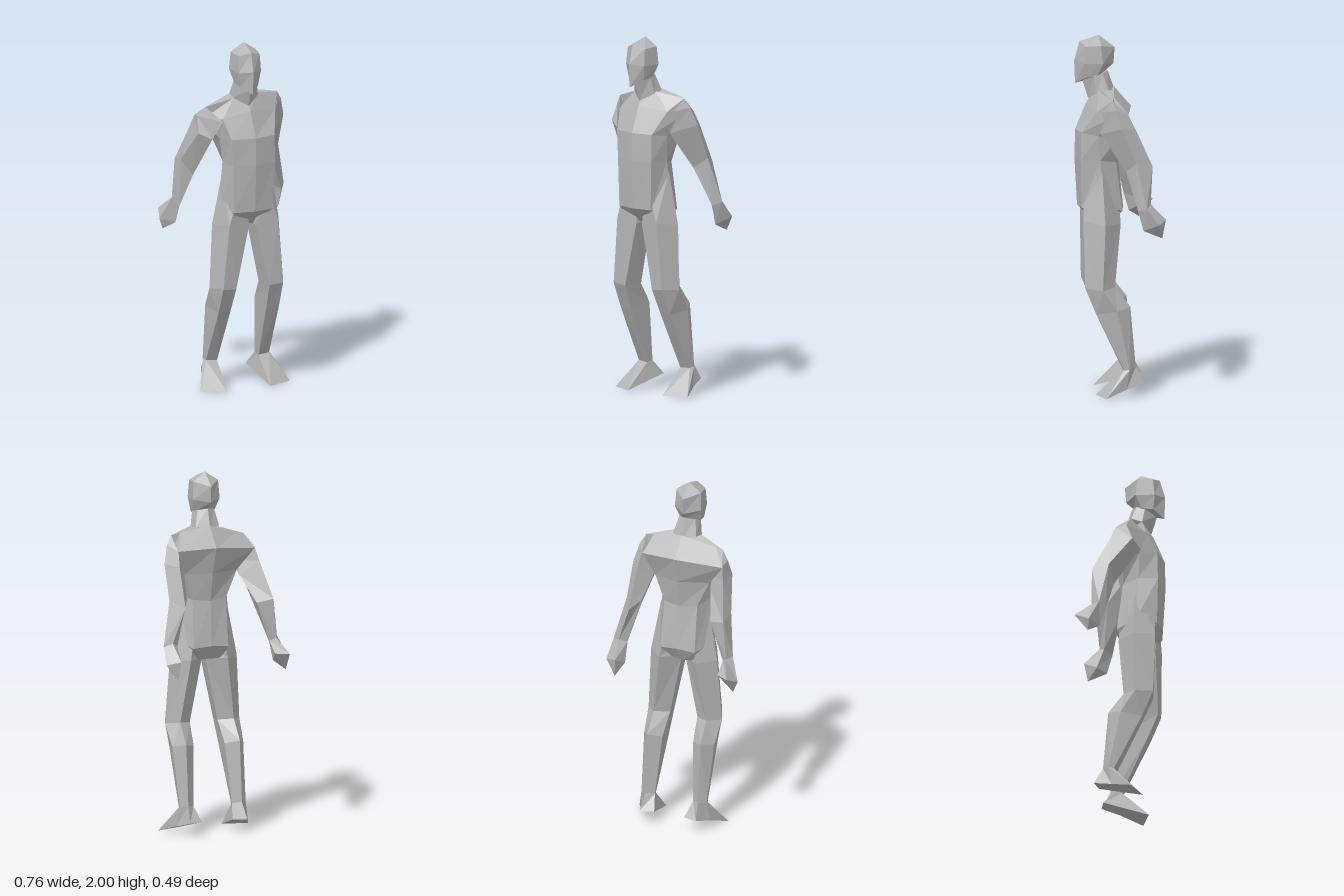
import * as THREE from 'three';

// Loft between rings listed top to bottom; each ring runs front, left, back, right.
// top / bottom are the cap tips (the ring centre when left out).
function loft(name, material, rings, { top, bottom, flip = false } = {}) {
  const pos = [];
  const tri = (a, b, c) => (flip ? pos.push(...a, ...c, ...b) : pos.push(...a, ...b, ...c));
  const centre = (r) => [0, 1, 2].map((k) => r.reduce((s, p) => s + p[k], 0) / r.length);
  const first = rings[0], last = rings[rings.length - 1], n = first.length;
  const t = top || centre(first), b = bottom || centre(last);
  for (let j = 0; j < n; j++) {
    const k = (j + 1) % n;
    tri(t, first[j], first[k]);
    for (let i = 0; i < rings.length - 1; i++) {
      const u = rings[i], l = rings[i + 1];
      tri(u[j], l[j], u[k]);
      tri(u[k], l[j], l[k]);
    }
    tri(b, last[k], last[j]);
  }
  const geo = new THREE.BufferGeometry();
  geo.setAttribute('position', new THREE.Float32BufferAttribute(pos, 3));
  geo.computeVertexNormals();
  const mesh = new THREE.Mesh(geo, material);
  mesh.name = name;
  return mesh;
}

// Symmetric ring from [half width, y, z] points running front to back.
function symRing(cx, half) {
  const left = half.map(([w, y, z]) => [cx + w, y, z]);
  const right = half.slice(1, -1).reverse().map(([w, y, z]) => [cx - w, y, z]);
  return [...left, ...right];
}

export function createModel() {
  const group = new THREE.Group();
  const grey = new THREE.MeshStandardMaterial({ color: 0xb4b4b4, flatShading: true });
  grey.name = 'plain grey';

  // Head: pointed crown, flat cheeks, jutting jaw
  group.add(loft('head', grey, [
    symRing(0.018, [[0, 1.965, 0.215], [0.064, 1.945, 0.185], [0.074, 1.95, 0.1], [0, 1.93, 0.02]]),
    symRing(0.018, [[0, 1.86, 0.245], [0.068, 1.85, 0.195], [0.08, 1.85, 0.09], [0, 1.84, 0.027]]),
    symRing(0.018, [[0, 1.73, 0.24], [0.055, 1.768, 0.185], [0.06, 1.775, 0.12], [0, 1.8, 0.07]]),
  ], { top: [0.018, 2, 0.11], bottom: [0.018, 1.75, 0.17] }));

  // Neck
  group.add(loft('neck', grey, [
    symRing(0.022, [[0, 1.75, 0.2], [0.06, 1.78, 0.14], [0.05, 1.79, 0.09], [0, 1.8, 0.06]]),
    symRing(0.024, [[0, 1.645, 0.168], [0.075, 1.69, 0.125], [0.07, 1.7, 0.06], [0, 1.69, 0.02]]),
  ]));

  // Torso, slightly turned, from collar to pelvis
  group.add(loft('torso', grey, [
    [[0.025, 1.645, 0.165], [0.1, 1.7, 0.115], [0.25, 1.67, 0.045], [0.2, 1.68, 0.035],
      [0.025, 1.71, 0.025], [-0.16, 1.655, 0.07], [-0.2, 1.642, 0.08], [-0.05, 1.688, 0.125]],
    [[0.03, 1.62, 0.18], [0.2, 1.6, 0.13], [0.25, 1.58, 0.04], [0.235, 1.59, -0.04],
      [0.025, 1.6, -0.07], [-0.235, 1.57, 0], [-0.215, 1.57, 0.07], [-0.13, 1.585, 0.16]],
    [[0.035, 1.475, 0.24], [0.16, 1.475, 0.215], [0.19, 1.46, 0.12], [0.18, 1.45, 0.01],
      [0.03, 1.45, -0.03], [-0.14, 1.45, 0.03], [-0.13, 1.46, 0.12], [-0.1, 1.475, 0.215]],
    [[0.035, 1.32, 0.245], [0.16, 1.32, 0.218], [0.18, 1.32, 0.11], [0.13, 1.3, 0.02],
      [0.03, 1.29, 0], [-0.07, 1.3, 0.02], [-0.11, 1.32, 0.11], [-0.09, 1.32, 0.218]],
    [[0.035, 1.05, 0.23], [0.15, 1.05, 0.212], [0.2, 1.06, 0.1], [0.14, 1.03, -0.015],
      [0.035, 1.04, -0.025], [-0.07, 1.03, -0.015], [-0.13, 1.06, 0.1], [-0.085, 1.05, 0.212]],
    [[0.01, 0.96, 0.15], [0.06, 0.96, 0.15], [0.11, 0.96, 0.09], [0.08, 0.96, 0.03],
      [0.01, 0.96, 0.02], [-0.05, 0.96, 0.03], [-0.08, 0.96, 0.09], [-0.045, 0.96, 0.15]],
  ]));

  // Arms: rings run front, outer, back, inner
  const leftArm = [
    [[0.22, 1.6, 0.1], [0.28, 1.62, 0.03], [0.24, 1.59, -0.04], [0.18, 1.52, 0.04]],
    [[0.2, 1.475, 0.11], [0.308, 1.52, 0], [0.25, 1.51, -0.08], [0.188, 1.45, 0]],
    [[0.25, 1.27, -0.03], [0.312, 1.325, -0.08], [0.255, 1.3, -0.175], [0.215, 1.33, -0.1]],
    [[0.335, 1.06, -0.09], [0.37, 1.08, -0.135], [0.325, 1.1, -0.16], [0.285, 1.08, -0.13]],
  ];
  const rightArm = [
    [[-0.13, 1.57, 0.165], [-0.24, 1.59, 0.06], [-0.232, 1.58, 0], [-0.15, 1.5, 0.05]],
    [[-0.18, 1.465, 0.13], [-0.25, 1.5, 0.095], [-0.25, 1.5, -0.03], [-0.15, 1.42, 0.02]],
    [[-0.235, 1.23, -0.01], [-0.3, 1.325, -0.03], [-0.295, 1.3, -0.125], [-0.205, 1.28, -0.1]],
    [[-0.3, 1.045, -0.05], [-0.333, 1.085, -0.08], [-0.31, 1.08, -0.125], [-0.28, 1.06, -0.1]],
  ];
  group.add(loft('leftArm', grey, leftArm, { top: [0.25, 1.67, 0.045] }));
  group.add(loft('rightArm', grey, rightArm, { top: [-0.2, 1.642, 0.08], flip: true }));

  // Hands: mitten shapes growing from the wrists
  group.add(loft('leftHand', grey, [leftArm[3],
    [[0.33, 0.95, -0.12], [0.38, 0.99, -0.205], [0.31, 1.01, -0.245], [0.282, 0.97, -0.17]],
  ], { bottom: [0.32, 0.905, -0.225] }));
  group.add(loft('rightHand', grey, [rightArm[3],
    [[-0.31, 0.945, -0.08], [-0.385, 0.96, -0.13], [-0.355, 1, -0.215], [-0.283, 1, -0.175]],
  ], { bottom: [-0.362, 0.9, -0.14], flip: true }));

  // Legs: rings run front inner, front outer, outer, back, inner
  const leg = [
    [[0.07, 1.08, 0.18], [0.145, 1.1, 0.2], [0.185, 1.26, 0.1], [0.12, 1.15, 0.01], [0.06, 1.05, 0.09]],
    [[0.06, 0.96, 0.185], [0.185, 0.98, 0.205], [0.24, 0.96, 0.085], [0.15, 0.96, -0.005], [0.05, 0.955, 0.08]],
    [[0.14, 0.6, 0.19], [0.22, 0.61, 0.197], [0.262, 0.6, 0.1], [0.2, 0.61, 0.03], [0.122, 0.6, 0.08]],
    [[0.148, 0.46, 0.13], [0.222, 0.46, 0.135], [0.252, 0.48, 0.02], [0.2, 0.5, -0.055], [0.132, 0.48, 0]],
    [[0.165, 0.14, -0.015], [0.23, 0.145, -0.02], [0.237, 0.15, -0.05], [0.2, 0.16, -0.085], [0.155, 0.15, -0.05]],
  ];
  // Feet: wedges with raised heels
  const sole = [[0.17, 0, 0.135], [0.31, 0, 0.085], [0.25, 0.04, -0.03], [0.21, 0.07, -0.135], [0.13, 0.07, -0.115]];
  const mirror = (r) => r.map(([x, y, z]) => [0.078 - x, y, z]);
  const foot = [leg[4], sole];
  group.add(loft('leftLeg', grey, leg), loft('leftFoot', grey, foot));
  group.add(loft('rightLeg', grey, leg.map(mirror), { flip: true }));
  group.add(loft('rightFoot', grey, foot.map(mirror), { flip: true }));

  return group;
}
